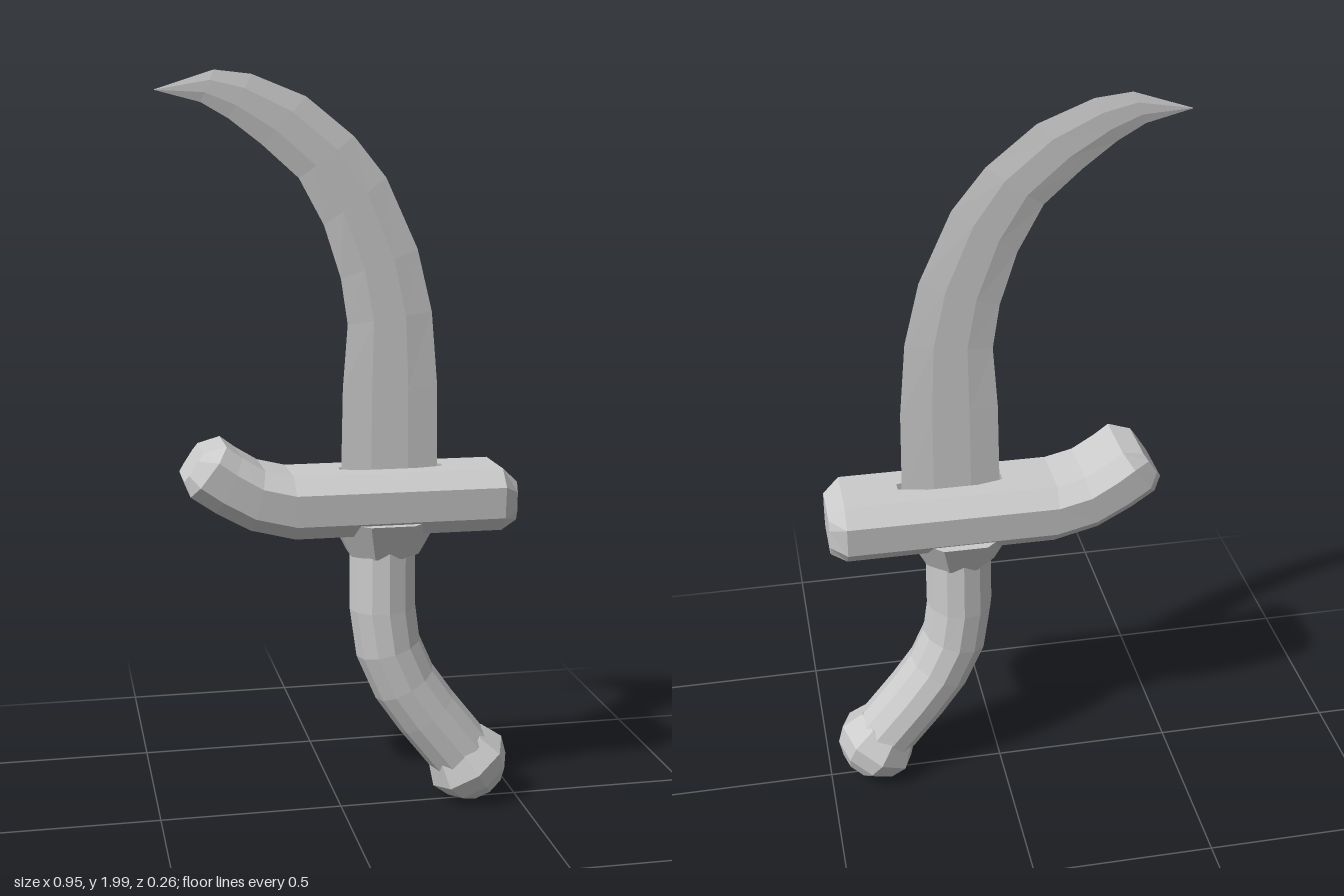
import * as THREE from 'three';

const material = new THREE.MeshStandardMaterial({ color: 0xcccccc, flatShading: true });

// Skin a series of rings; each ring runs counter-clockwise about the direction of travel.
function loft(rings, { start = true, end = true, skip = () => false } = {}) {
  const pos = [];
  const tri = (...pts) => pts.forEach((p) => pos.push(p[0], p[1], p[2]));
  const n = rings[0].length;
  for (let i = 0; i < rings.length - 1; i++) {
    for (let j = 0; j < n; j++) {
      if (skip(i, j)) continue;
      const k = (j + 1) % n;
      const a = rings[i][j], b = rings[i][k], c = rings[i + 1][k], d = rings[i + 1][j];
      tri(a, b, c);
      tri(a, c, d);
    }
  }
  const cap = (ring, flip) => {
    const mid = [0, 1, 2].map((q) => ring.reduce((s, p) => s + p[q], 0) / n);
    ring.forEach((p, j) => {
      const next = ring[(j + 1) % n];
      if (flip) tri(mid, next, p);
      else tri(mid, p, next);
    });
  };
  if (start) cap(rings[0], true);
  if (end) cap(rings[rings.length - 1], false);
  const geometry = new THREE.BufferGeometry();
  geometry.setAttribute('position', new THREE.Float32BufferAttribute(pos, 3));
  geometry.computeVertexNormals();
  return geometry;
}

const mix = (a, b, t) => a + (b - a) * t;

function bladeGeometry() {
  // inner edge x, y, outer edge x, y, half thickness
  const stations = [
    [0, 0.92, 0.265, 0.92, 0.012],
    [0.005, 1.18, 0.262, 1.18, 0.012],
    [0.018, 1.35, 0.245, 1.38, 0.012],
    [0.0, 1.47, 0.205, 1.545, 0.012],
    [-0.045, 1.61, 0.12, 1.73, 0.012],
    [-0.11, 1.73, 0.035, 1.835, 0.012],
    [-0.205, 1.815, -0.09, 1.935, 0.011],
    [-0.29, 1.88, -0.23, 1.99, 0.009],
    [-0.36, 1.92, -0.325, 2.0, 0.006],
    [-0.475, 1.949, -0.475, 1.951, 0.0005],
  ];
  const section = [[1, 0], [0.68, -1], [0.3, -1], [0, 0], [0.3, 1], [0.68, 1]];
  return loft(stations.map(([ax, ay, bx, by, h]) =>
    section.map(([t, s]) => [mix(ax, bx, t), mix(ay, by, t), s * h])));
}

function guardGeometry() {
  // top x, y, bottom x, y, from the straight end to the upturned end
  const stations = [
    [0.468, 0.925, 0.468, 0.82],
    [0.425, 0.965, 0.425, 0.795],
    [-0.14, 0.965, -0.135, 0.795],
    [-0.215, 0.983, -0.255, 0.825],
    [-0.275, 1.02, -0.345, 0.875],
    [-0.315, 1.05, -0.41, 0.92],
    [-0.375, 1.035, -0.425, 0.96],
  ];
  const body = [[0, 0.08], [0.26, 0.122], [0.76, 0.114], [1, 0.075]];
  const tip = [[0, 0.07], [0.26, 0.08], [0.76, 0.078], [1, 0.068]];
  const rings = stations.map(([tx, ty, bx, by], i) => {
    const half = i === 0 || i === stations.length - 1 ? tip : body;
    const at = ([t, z], s) => [mix(tx, bx, t), mix(ty, by, t), s * z];
    return [at(half[0], 1), ...half.map((p) => at(p, -1)),
      ...half.slice(1).reverse().map((p) => at(p, 1))];
  });
  // the flat top is left open for the slotted plate
  return loft(rings, { skip: (i, j) => i === 1 && j === 0 });
}

function handleGeometry() {
  const path = [[0.115, 0.76], [0.115, 0.58], [0.131, 0.465], [0.177, 0.36], [0.24, 0.27], [0.335, 0.15]];
  const sides = 12;
  const rings = path.map(([x, y], i) => {
    const a = path[Math.max(i - 1, 0)], b = path[Math.min(i + 1, path.length - 1)];
    const len = Math.hypot(b[0] - a[0], b[1] - a[1]);
    const tx = (b[0] - a[0]) / len, ty = (b[1] - a[1]) / len;
    return Array.from({ length: sides }, (_, j) => {
      const angle = (j / sides) * Math.PI * 2;
      const c = Math.cos(angle) * 0.091, s = Math.sin(angle) * 0.093;
      return [x - ty * c, y + tx * c, s];
    });
  });
  return loft(rings);
}

export function createModel() {
  const group = new THREE.Group();
  const add = (name, geometry) => {
    const mesh = new THREE.Mesh(geometry, material);
    mesh.name = name;
    group.add(mesh);
    return mesh;
  };

  add('blade', bladeGeometry());
  add('guard', guardGeometry());

  // Flat top of the guard, cut by a shallow slot around the blade
  const slot = [[-0.005, -0.014], [0.065, -0.03], [0.2, -0.03], [0.277, -0.013],
    [0.277, 0.013], [0.2, 0.03], [0.065, 0.03], [-0.005, 0.014]];
  const toVectors = (pts) => pts.map(([x, y]) => new THREE.Vector2(x, y));
  const plate = new THREE.Shape(toVectors([[-0.14, -0.08], [0.425, -0.08], [0.425, 0.08], [-0.14, 0.08]]));
  plate.holes.push(new THREE.Path(toVectors(slot)));
  add('guardTop', new THREE.ShapeGeometry(plate).rotateX(-Math.PI / 2).translate(0, 0.965, 0));

  // Slot walls and floor face inward
  add('bladeSlot', loft([0.94, 0.965].map((y) => slot.map(([x, z]) => [x, y, z])), { end: false }));

  // Flared socket joining the guard and handle
  const socket = add('socket', new THREE.CylinderGeometry(0.145, 0.094, 0.1, 8));
  socket.position.set(0.115, 0.78, 0);
  socket.scale.z = 0.85;
  socket.geometry.rotateY(Math.PI / 8).scale(1.06, 1, 1.15);

  add('handle', handleGeometry());

  // Faceted pommel along the handle's end direction
  const profile = [[0, -0.065], [0.091, -0.065], [0.118, 0], [0.1, 0.05], [0.062, 0.087], [0, 0.087]];
  const pommel = add('pommel', new THREE.LatheGeometry(toVectors(profile), 8));
  pommel.geometry.rotateY(Math.PI / 2);
  pommel.position.set(0.362, 0.112, 0);
  pommel.rotation.z = Math.atan2(-0.56, -0.83);

  return group;
}
